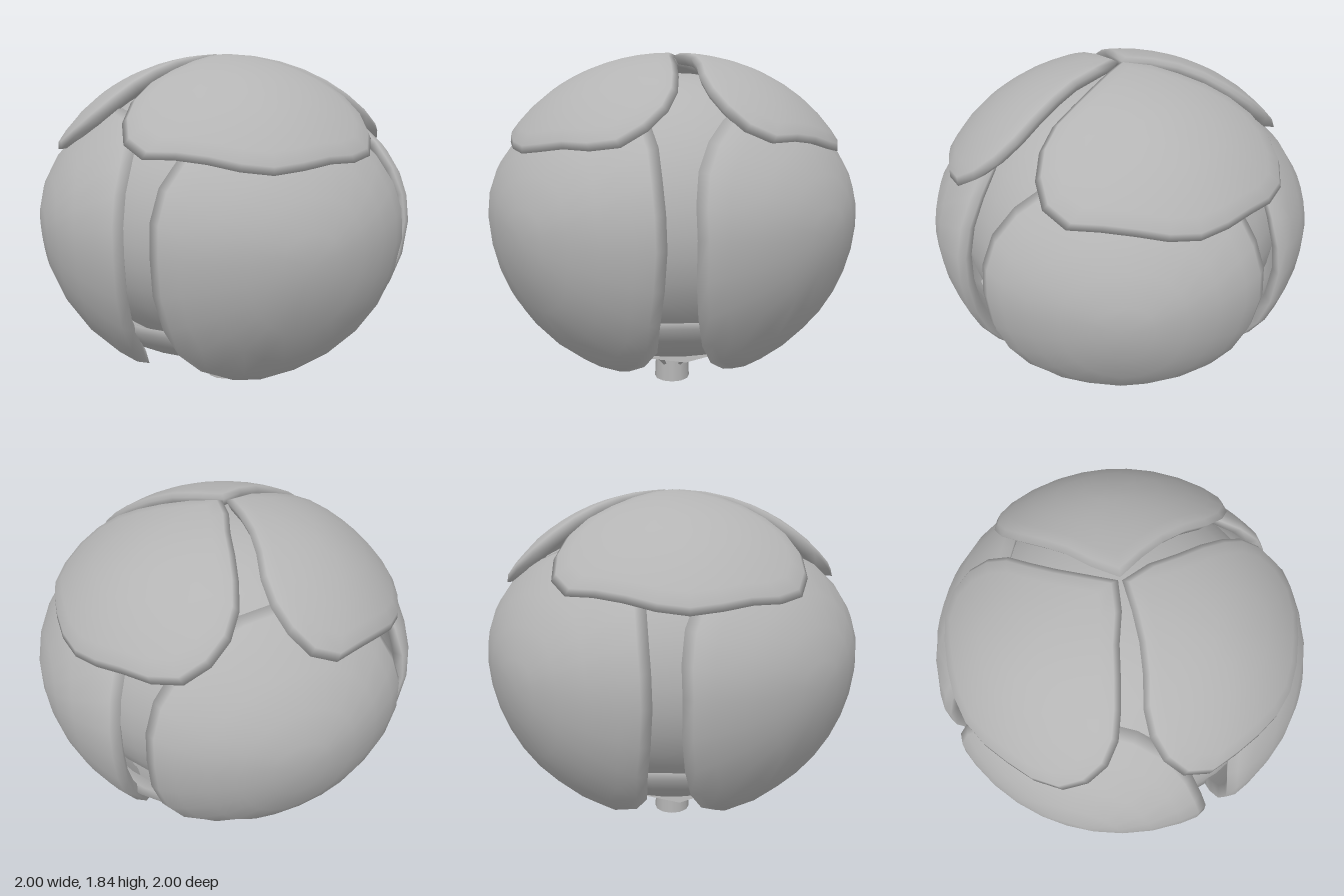
import * as THREE from 'three';

const grey = new THREE.MeshStandardMaterial({ color: 0xb4b4b4, side: THREE.DoubleSide });
grey.name = 'grey';

// Thick curved petal: outline holds unit-sphere directions, counter-clockwise from outside
function petalGeometry(outline, centre, up, down, segments) {
  const edge = new THREE.CatmullRomCurve3(outline, true).getSpacedPoints(segments).slice(0, segments);
  // [distance from centre to edge, shell scale]: outer face, bevel, undercut rim, inner face
  const rings = [[0.2, 1], [0.4, 1], [0.6, 1], [0.8, 1], [0.93, 1], [1, 0.983], [0.94, 0.93], [0.5, 0.925]];
  const pos = [], index = [];
  const add = (dir, scale) => {
    const d = dir.clone().normalize().multiplyScalar(scale);
    pos.push(d.x, 1 + d.y * (d.y > 0 ? up : down), d.z);
  };
  add(centre, 1);
  for (const [s, scale] of rings)
    for (const e of edge) add(centre.clone().lerp(e, s), scale);
  add(centre, 0.925);
  const n = segments, last = 1 + rings.length * n;
  for (let i = 0; i < n; i++) {
    const j = (i + 1) % n;
    index.push(0, 1 + i, 1 + j);
    for (let r = 0; r < rings.length - 1; r++) {
      const a = 1 + r * n, b = a + n;
      index.push(a + i, b + i, b + j, a + i, b + j, a + j);
    }
    index.push(last, last - n + j, last - n + i);
  }
  const g = new THREE.BufferGeometry();
  g.setAttribute('position', new THREE.Float32BufferAttribute(pos, 3));
  g.setIndex(index);
  g.computeVertexNormals();
  return g;
}

function lathe(points, segments) {
  return new THREE.LatheGeometry(points.map(([r, y]) => new THREE.Vector2(r, y)), segments);
}

export function createModel() {
  const model = new THREE.Group();
  const add = (name, geometry, turn = 0) => {
    const m = new THREE.Mesh(geometry, grey);
    m.name = name;
    m.rotation.y = turn;
    model.add(m);
    return m;
  };

  // Four side petals, outline as x, y seen from the front
  const UP = 0.72, DOWN = 0.94;
  const sideDir = ([x, y]) => {
    const v = (y - 1) / (y > 1 ? UP : DOWN);
    return new THREE.Vector3(x, v, Math.sqrt(Math.max(0, 1 - x * x - v * v)));
  };
  const side = petalGeometry([
    [-0.415, 1], [-0.405, 0.8], [-0.355, 0.6], [-0.25, 0.4], [-0.06, 0.245], [0.17, 0.175],
    [0.4, 0.25], [0.61, 0.39], [0.75, 0.6], [0.825, 0.8], [0.85, 1], [0.785, 1.25],
    [0.65, 1.43], [0.5, 1.53], [0.3, 1.58], [0, 1.56], [-0.25, 1.43], [-0.385, 1.25],
  ].map(sideDir), sideDir([0.28, 0.95]), UP, DOWN, 24);
  for (let i = 0; i < 4; i++) add('sidePetal' + (i + 1), side, i * Math.PI / 2);

  // Three top petals, outline as x, z seen from above
  const topDir = ([x, z]) => new THREE.Vector3(x, Math.sqrt(1 - x * x - z * z), z);
  const top = petalGeometry([
    [0, 0.01], [-0.12, 0.15], [-0.28, 0.29], [-0.45, 0.41], [-0.53, 0.56], [-0.485, 0.73],
    [-0.25, 0.845], [0.1, 0.91], [0.4, 0.805], [0.61, 0.66], [0.67, 0.5], [0.63, 0.36],
    [0.5, 0.26], [0.25, 0.135],
  ].map(topDir), topDir([0.07, 0.52]), 0.845, 0.845, 24);
  for (let i = 0; i < 3; i++) add('topPetal' + (i + 1), top, i * Math.PI * 2 / 3);

  // Inner bud behind the gaps
  const bud = new THREE.SphereGeometry(1, 32, 20);
  bud.scale(0.86, 0.74, 0.86);
  bud.translate(0, 1, 0);
  add('innerBud', bud);

  // Cup around the lower half of the bud
  add('cup', lathe([[0.08, 0.19], [0.3, 0.24], [0.48, 0.3], [0.65, 0.39], [0.78, 0.49],
    [0.85, 0.57], [0.82, 0.59], [0.74, 0.55]], 32));

  // Star of sepals under the cup
  const star = new THREE.RingGeometry(0.08, 0.5, 16, 3);
  star.rotateX(Math.PI / 2);
  const p = star.attributes.position;
  for (let i = 0; i < p.count; i++) {
    const k = i % 17 % 2 ? 0.8 : 1, x = p.getX(i) * k, z = p.getZ(i) * k;
    p.setXYZ(i, x, 0.155 + 0.24 * Math.hypot(x, z), z);
  }
  star.computeVertexNormals();
  add('sepalStar', star, Math.PI / 8);

  // Stem
  const stem = new THREE.CylinderGeometry(0.09, 0.1, 0.2, 12);
  stem.translate(0, 0.1, 0);
  add('stem', stem);

  // Small leaflets flaring from the stem, narrow at the foot
  const leaflet = new THREE.PlaneGeometry(1, 1, 2, 4);
  const q = leaflet.attributes.position;
  for (let i = 0; i < q.count; i++) {
    const t = q.getY(i) + 0.5, w = 0.012 + 0.06 * t * t;
    q.setXYZ(i, q.getX(i) * 2 * w, 0.075 + 0.14 * t, 0.075 + 0.15 * t - 0.03 * Math.abs(q.getX(i)));
  }
  leaflet.computeVertexNormals();
  for (let i = 0; i < 6; i++) add('leaflet' + (i + 1), leaflet, (i + 0.5) * Math.PI / 3);

  return model;
}
